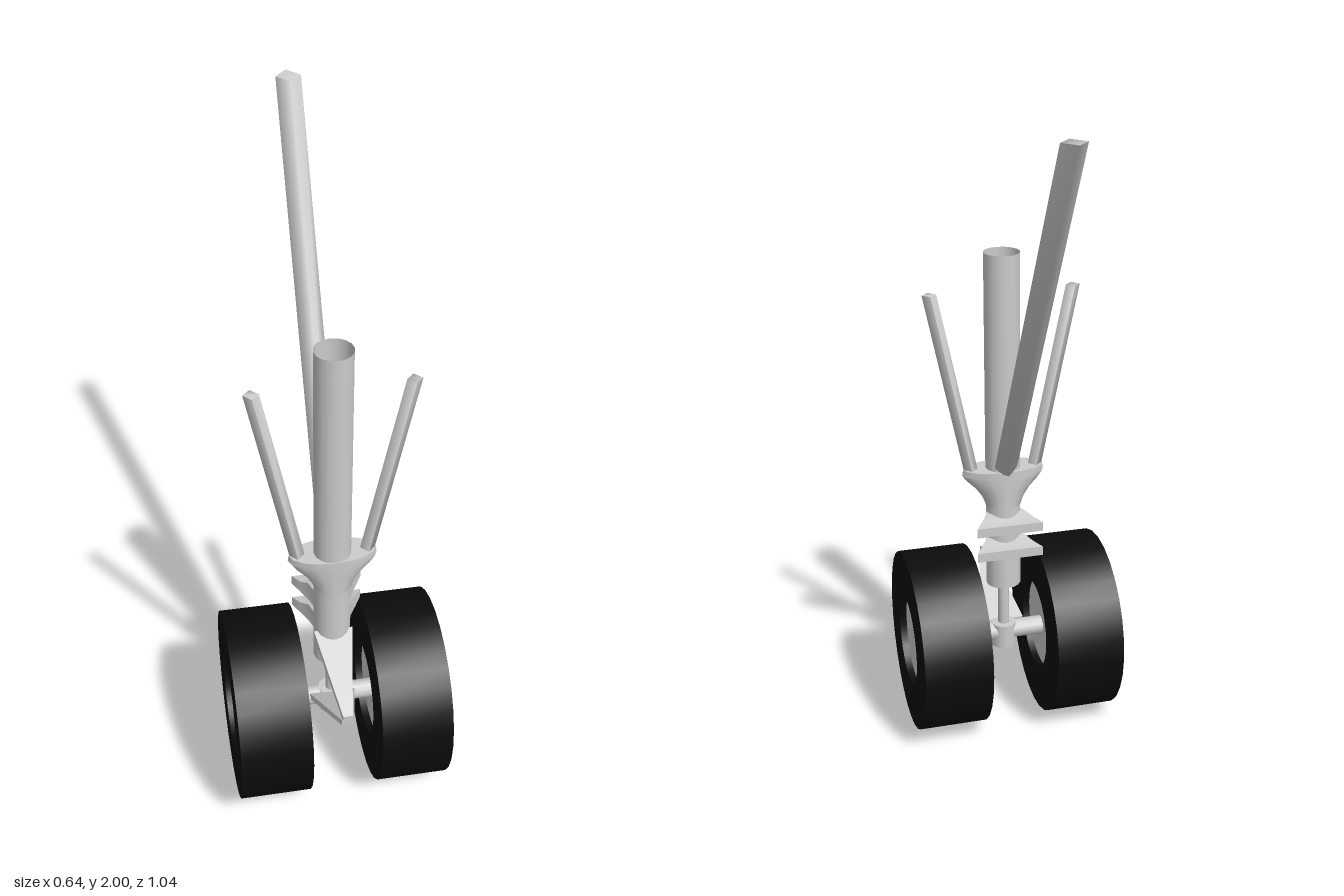
import * as THREE from 'three';
import { toCreasedNormals } from 'three/addons/utils/BufferGeometryUtils.js';

const Z = 0.235;        // depth of the strut and the axle
const AXLE_Y = 0.288;

const grey = new THREE.MeshStandardMaterial({ color: 0xcccccc, side: THREE.DoubleSide });
const black = new THREE.MeshStandardMaterial({ color: 0x0c0c0c, side: THREE.DoubleSide });

// Skin between rings of [x, y, z] points, counter-clockwise seen from the last ring
function loft(rings, crease = 0.6, caps = true) {
  const n = rings[0].length, pos = rings.flat(2), index = [];
  for (let i = 0; i < rings.length - 1; i++) {
    for (let j = 0; j < n; j++) {
      const a = i * n + j, b = i * n + (j + 1) % n;
      index.push(a, b, b + n, a, b + n, a + n);
    }
  }
  if (caps) {
    const last = (rings.length - 1) * n;
    for (let j = 1; j < n - 1; j++) index.push(0, j + 1, j, last, last + j, last + j + 1);
  }
  const g = new THREE.BufferGeometry();
  g.setAttribute('position', new THREE.Float32BufferAttribute(pos, 3));
  g.setIndex(index);
  return toCreasedNormals(g, crease);
}

// Horizontal ellipse and upright rectangle as ring shapes
const ellipse = (x, y, z, rx, rz, n) => Array.from({ length: n }, (_, i) => {
  const t = (i / n) * Math.PI * 2;
  return [x + rx * Math.cos(t), y, z - rz * Math.sin(t)];
});
const rect = (y, z, w, h) => [[-w, y - h, z], [w, y - h, z], [w, y + h, z], [-w, y + h, z]];

export function createModel() {
  const model = new THREE.Group();
  const add = (name, geometry, material = grey, parent = model) => {
    const mesh = new THREE.Mesh(geometry, material);
    mesh.name = name;
    parent.add(mesh);
    return mesh;
  };

  // Open main tube
  add('mainStrut', new THREE.CylinderGeometry(0.055, 0.055, 1.09, 16, 1, true)).position.set(0, 1.005, Z);

  // Slim piston and foot at the axle
  add('piston', new THREE.CylinderGeometry(0.018, 0.018, 0.32, 10)).position.set(0, 0.42, Z);
  add('axleFoot', new THREE.CylinderGeometry(0.04, 0.04, 0.08, 12)).position.set(0, 0.27, Z);
  const axle = add('axle', new THREE.CylinderGeometry(0.03, 0.03, 0.27, 12));
  axle.rotation.z = Math.PI / 2;
  axle.position.set(0, 0.28, Z);

  // Collar flaring sideways under the side braces
  const collar = [[0.74, 0.056], [0.765, 0.065], [0.795, 0.085], [0.825, 0.115], [0.845, 0.13], [0.865, 0.127]];
  add('collar', loft(collar.map(([y, rx]) => ellipse(0, y, Z, rx, 0.057, 16))));

  // Two tapered lugs facing backwards
  for (const y of [0.685, 0.6]) {
    add('rearLug', loft([
      rect(y, 0.142, 0.105, 0.015), rect(y, 0.175, 0.085, 0.02),
      rect(y, 0.2, 0.065, 0.032), rect(y, 0.26, 0.045, 0.032),
    ]));
  }

  // Long drag brace, cut level at both ends
  add('dragBrace', loft([
    ellipse(0, 0.86, 0.205, 0.036, 0.043, 4), ellipse(0, 2, -0.472, 0.036, 0.043, 4),
  ], 1.7));

  // Side braces
  for (const s of [1, -1]) {
    add(s > 0 ? 'leftSideBrace' : 'rightSideBrace', loft([
      ellipse(s * 0.1, 0.85, Z, 0.022, 0.023, 4), ellipse(s * 0.22, 1.435, Z, 0.022, 0.023, 4),
    ], 1.7));
  }

  // Hinged torque links at the front
  add('upperTorqueLink', loft([rect(0.565, 0.26, 0.058, 0.012), rect(0.445, 0.5, 0.014, 0.01)]));
  add('lowerTorqueLink', loft([rect(0.295, 0.255, 0.07, 0.012), rect(0.432, 0.5, 0.018, 0.01)]));

  // Wheels: square-shouldered tyre with recessed hub discs
  const half = 0.107;
  const profile = [[0.143, -half], [0.288, -half], [0.288, half], [0.143, half], [0.143, -half]]
    .map(([r, y]) => new THREE.Vector2(r, y));
  const tyre = toCreasedNormals(new THREE.LatheGeometry(profile, 28), 0.6);
  const hub = new THREE.CylinderGeometry(0.143, 0.143, 0.17, 28);
  for (const s of [1, -1]) {
    const wheel = new THREE.Group();
    wheel.name = s > 0 ? 'leftWheel' : 'rightWheel';
    wheel.rotation.z = Math.PI / 2;
    wheel.position.set(s * 0.211, AXLE_Y, Z);
    add('tyre', tyre, black, wheel);
    add('hub', hub, grey, wheel);
    model.add(wheel);
  }
  return model;
}
